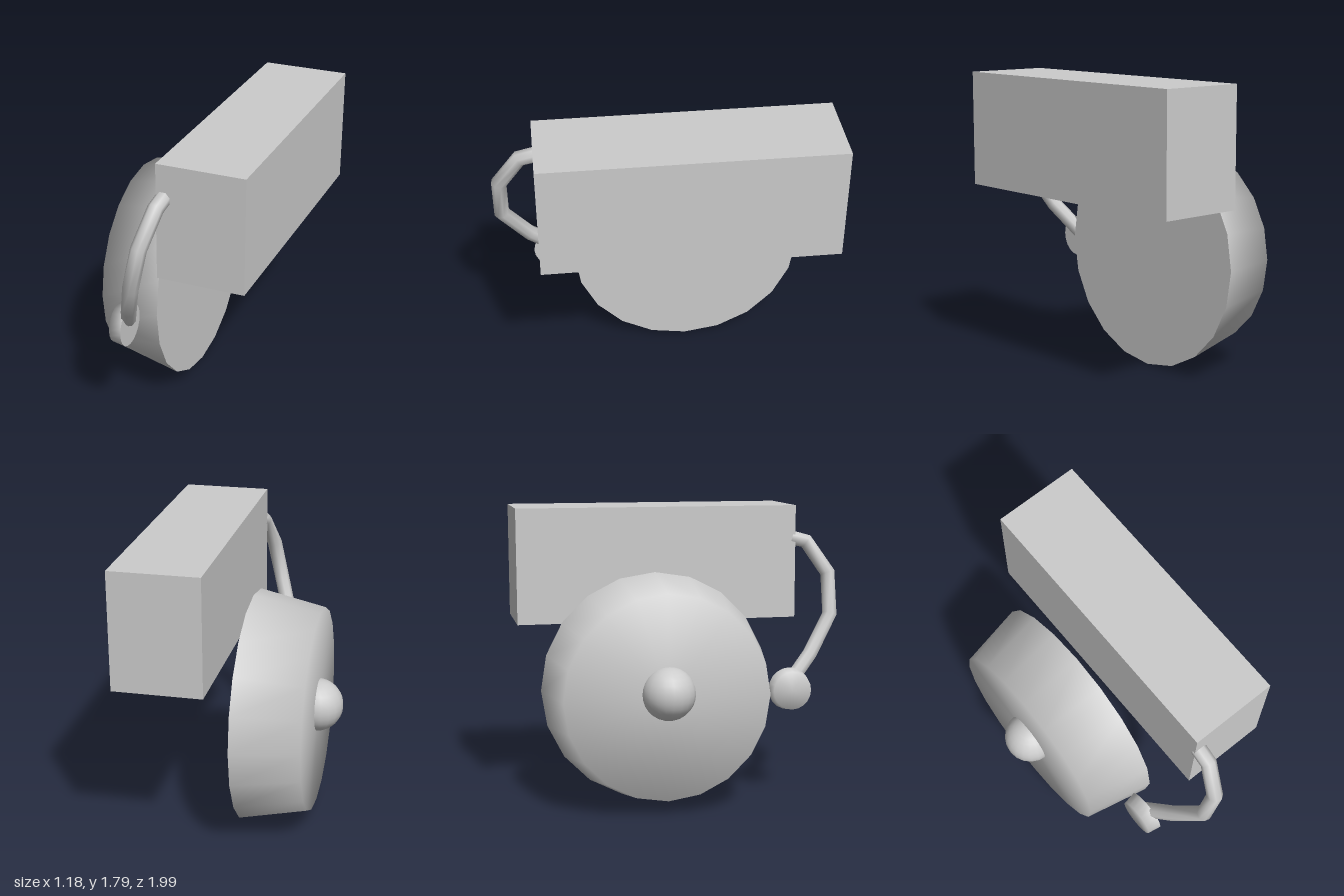
import * as THREE from 'three';

const material = new THREE.MeshStandardMaterial({ color: 0xcccccc });

function add(parent, name, geometry, x = 0, y = 0, z = 0) {
  const mesh = new THREE.Mesh(geometry, material);
  mesh.name = name;
  mesh.position.set(x, y, z);
  parent.add(mesh);
  return mesh;
}

// Tapered drum pointing toward -x: soft outer rim, sharp flat base at the wide end
function drum(parent, name, wide, narrow, depth, x, y, z) {
  const group = new THREE.Group();
  group.name = name;
  group.position.set(x, y, z);
  const profile = [[wide, 0], [narrow, depth], [0, depth]].map(p => new THREE.Vector2(...p));
  add(group, name + 'Shell', new THREE.LatheGeometry(profile, 20)).rotation.z = Math.PI / 2;
  add(group, name + 'Base', new THREE.CircleGeometry(wide, 20)).rotation.y = Math.PI / 2;
  parent.add(group);
}

export function createModel() {
  const model = new THREE.Group();
  model.name = 'alarmBell';

  // Housing box
  add(model, 'housing', new THREE.BoxGeometry(0.525, 0.7, 1.74), 0.3275, 1.443, -0.13);

  // Bell with its centre knob
  drum(model, 'bell', 0.702, 0.618, 0.4, -0.04, 0.705, -0.175);
  add(model, 'knob', new THREE.SphereGeometry(0.16, 20, 14), -0.43, 0.735, -0.172);

  // Striker head
  drum(model, 'striker', 0.132, 0.118, 0.08, -0.16, 0.68, 0.642);

  // Bent striker arm, one ring per path point
  const path = new THREE.CatmullRomCurve3([
    [-0.175, 0.71, 0.635], [-0.09, 0.88, 0.795], [0, 1.115, 0.95],
    [0.055, 1.37, 0.95], [0.1, 1.565, 0.82], [0.105, 1.59, 0.72],
  ].map(p => new THREE.Vector3(...p)));
  path.getPointAt = path.getPoint;
  path.getTangentAt = path.getTangent;
  add(model, 'strikerArm', new THREE.TubeGeometry(path, 5, 0.047, 8));

  return model;
}
